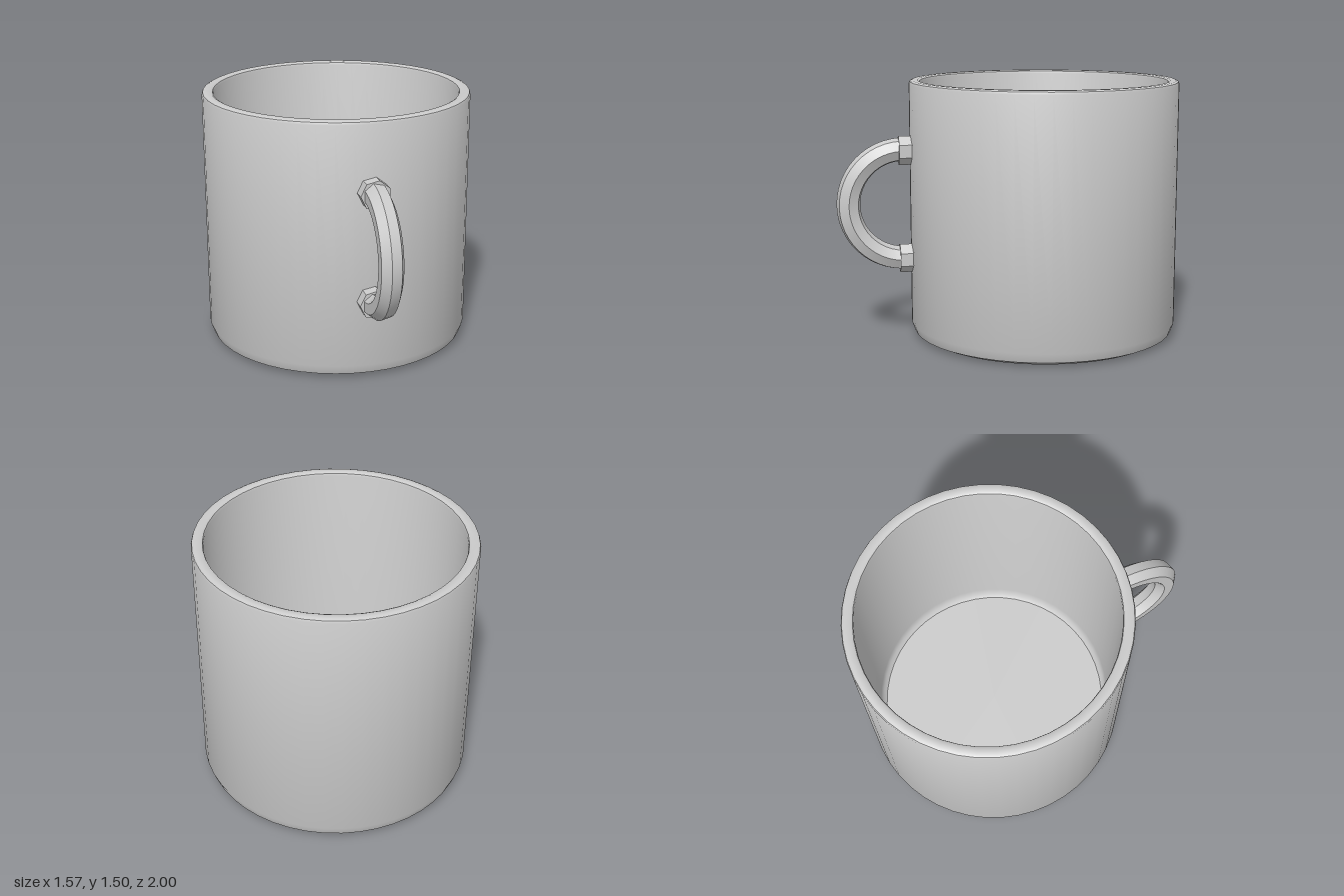
import * as THREE from 'three';
import { toCreasedNormals } from 'three/addons/utils/BufferGeometryUtils.js';

const CUP_Z = -0.215; // cup axis, set back to leave room for the handle
const HANDLE_Y = 0.79, HANDLE_Z = 0.61, HANDLE_R = 0.32;

export function createModel() {
  const group = new THREE.Group();
  const material = new THREE.MeshStandardMaterial({ color: 0xcccccc });
  const add = (name, geometry) => {
    const mesh = new THREE.Mesh(toCreasedNormals(geometry, 0.65), material);
    mesh.name = name;
    group.add(mesh);
    return mesh;
  };

  // Cup: one closed profile, from the underside over the rim to the inner floor
  const profile = [
    [0, 0], [0.71, 0], [0.765, 0.025], [0.785, 0.08],
    [0.785, 1.485], [0.78, 1.498], [0.765, 1.505],
    [0.735, 1.505], [0.722, 1.498], [0.718, 1.485],
    [0.715, 0.15], [0.705, 0.1], [0.685, 0.08], [0, 0.08],
  ].map(([r, y]) => new THREE.Vector2(r, y));
  add('cup', new THREE.LatheGeometry(profile, 48)).position.z = CUP_Z;

  // Handle: seven-sided tube bent in a half circle, its ends sunk in the wall
  const path = [new THREE.Vector3(0, HANDLE_Y + HANDLE_R, 0.54)];
  for (let i = 0; i <= 16; i++) {
    const a = Math.PI / 2 - (i / 16) * Math.PI;
    path.push(new THREE.Vector3(0, HANDLE_Y + HANDLE_R * Math.sin(a), HANDLE_Z + HANDLE_R * Math.cos(a)));
  }
  path.push(new THREE.Vector3(0, HANDLE_Y - HANDLE_R, 0.54));
  add('handle', new THREE.TubeGeometry(new THREE.CatmullRomCurve3(path), 28, 0.07, 7));

  // Collars where the handle meets the wall
  for (const [name, side] of [['upperCollar', 1], ['lowerCollar', -1]]) {
    const collar = new THREE.CylinderGeometry(0.086, 0.086, 0.1, 7, 1, false, -Math.PI / 2);
    collar.rotateX(Math.PI / 2);
    add(name, collar).position.set(0, HANDLE_Y + side * 0.317, 0.588);
  }
  return group;
}
